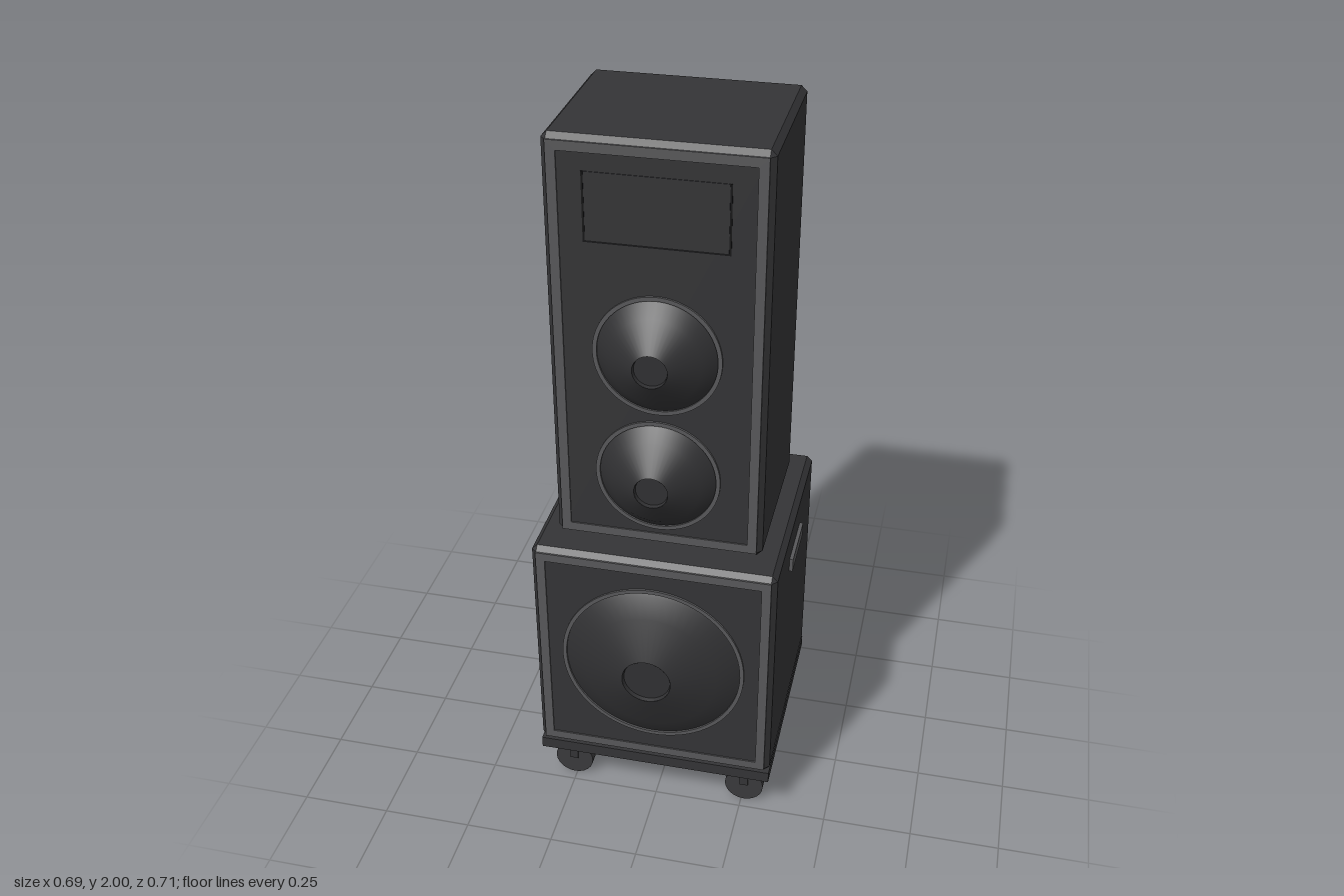
import * as THREE from 'three';
import { ConvexGeometry } from 'three/addons/geometries/ConvexGeometry.js';

const mat = (name, color, side = THREE.FrontSide) => {
  const m = new THREE.MeshStandardMaterial({ color, side });
  m.name = name;
  return m;
};

export function createModel() {
  const body = mat('cabinet charcoal', 0x343436);
  const trim = mat('trim grey', 0x58585a);
  const panel = mat('back panel grey', 0x48484b);
  const cone = mat('cone black', 0x303032, THREE.DoubleSide);
  const dark = mat('shadow gap black', 0x161617);
  const rubber = mat('castor grey', 0x3a3a3c);

  const root = new THREE.Group();
  root.name = 'speakerStack';

  const add = (parent, name, geo, material, x = 0, y = 0, z = 0) => {
    const m = new THREE.Mesh(geo, material);
    m.name = name;
    m.position.set(x, y, z);
    parent.add(m);
    return m;
  };
  const box = (parent, name, w, h, d, material, x, y, z) =>
    add(parent, name, new THREE.BoxGeometry(w, h, d), material, x, y, z);

  // Box with every edge chamfered by c
  const chamferBox = (w, h, d, c) => {
    const pts = [];
    for (const sx of [-1, 1]) for (const sy of [-1, 1]) for (const sz of [-1, 1])
      for (let k = 0; k < 3; k++) {
        const i = [c, c, c];
        i[k] = 0;
        pts.push(new THREE.Vector3(sx * (w / 2 - i[0]), sy * (h / 2 - i[1]), sz * (d / 2 - i[2])));
      }
    return new ConvexGeometry(pts);
  };

  // Flat rectangular border, outer size w x h, border width b
  const frameGeometry = (w, h, b, depth) => {
    const rect = (P, a, c) => new P([
      new THREE.Vector2(-a, -c), new THREE.Vector2(a, -c),
      new THREE.Vector2(a, c), new THREE.Vector2(-a, c)]);
    const s = rect(THREE.Shape, w / 2, h / 2);
    s.holes.push(rect(THREE.Path, w / 2 - b, h / 2 - b));
    return new THREE.ExtrudeGeometry(s, { depth, bevelEnabled: false });
  };

  // Cabinet shell with front border and rear connection plate
  const cabinet = (name, w, y0, y1, z0, z1, plateY) => {
    const g = new THREE.Group();
    g.name = name;
    root.add(g);
    const h = y1 - y0, cy = (y0 + y1) / 2;
    add(g, 'shell', chamferBox(w, h, z1 - z0, 0.015), body, 0, cy, (z0 + z1) / 2);
    add(g, 'frontTrim', frameGeometry(w - 0.028, h - 0.028, 0.025, 0.005), trim, 0, cy, z1 - 0.001);
    box(g, 'backPlate', 0.27, 0.335, 0.008, panel, 0, plateY, z0 - 0.001);
    return g;
  };

  // Bulging driver: profile is [radius, height] from rim to nose
  const driver = (parent, name, y, z, ringR, profile) => {
    const g = new THREE.Group();
    g.name = name;
    g.position.set(0, y, z);
    parent.add(g);
    const s = new THREE.Shape().absarc(0, 0, ringR, 0, Math.PI * 2);
    s.holes.push(new THREE.Path().absarc(0, 0, ringR - 0.011, 0, Math.PI * 2, true));
    add(g, 'driverRing',
      new THREE.ExtrudeGeometry(s, { depth: 0.006, bevelEnabled: false, curveSegments: 40 }), trim);
    const pts = profile.map(p => new THREE.Vector2(p[0], p[1]));
    add(g, 'driverCone', new THREE.LatheGeometry(pts, 48), cone).rotation.x = Math.PI / 2;
    // Slightly sunken nose
    const [r, top] = profile[profile.length - 1];
    add(g, 'noseWall', new THREE.CylinderGeometry(r, r * 0.95, 0.012, 32, 1, true), cone, 0, 0, top - 0.006)
      .rotation.x = Math.PI / 2;
    add(g, 'noseCap', new THREE.CircleGeometry(r, 32), cone, 0, 0, top - 0.011);
  };

  // Upper tower
  const tower = cabinet('towerCabinet', 0.56, 0.866, 2, -0.275, 0.195, 1.255);
  for (const y of [1.442, 1.087])
    driver(tower, 'midDriver', y, 0.195, 0.166, [[0.156, 0], [0.15, 0.006], [0.12, 0.036], [0.045, 0.084]]);

  // Horn panel with dark gaps on the sides and below
  box(tower, 'hornPanel', 0.352, 0.175, 0.004, body, 0, 1.827, 0.195);
  for (const s of [-1, 1])
    box(tower, 'hornSideGap', 0.005, 0.18, 0.004, dark, s * 0.179, 1.825, 0.195);
  box(tower, 'hornLowerGap', 0.363, 0.005, 0.004, dark, 0, 1.737, 0.195);

  // Lower bass cabinet
  const bass = cabinet('bassCabinet', 0.672, 0.17, 0.86, -0.353, 0.274, 0.474);
  driver(bass, 'bassDriver', 0.515, 0.274, 0.257, [[0.246, 0], [0.237, 0.006], [0.185, 0.037], [0.068, 0.08]]);
  for (const s of [-1, 1])
    box(bass, 'sideHandle', 0.012, 0.04, 0.18, trim, s * 0.34, 0.747, -0.04);

  // Wheeled base board
  const base = new THREE.Group();
  base.name = 'wheeledBase';
  root.add(base);
  box(base, 'baseBoard', 0.672, 0.034, 0.627, body, 0, 0.153, -0.0395);
  for (const x of [-0.257, 0.257]) for (const z of [0.199, -0.272]) {
    const c = new THREE.Group();
    c.name = 'castor';
    c.position.set(x, 0, z);
    base.add(c);
    add(c, 'castorWheel', new THREE.CylinderGeometry(0.056, 0.056, 0.04, 24), rubber, 0, 0.056, 0)
      .rotation.x = Math.PI / 2;
    box(c, 'castorFork', 0.024, 0.08, 0.048, body, 0, 0.098, 0);
  }
  return root;
}
